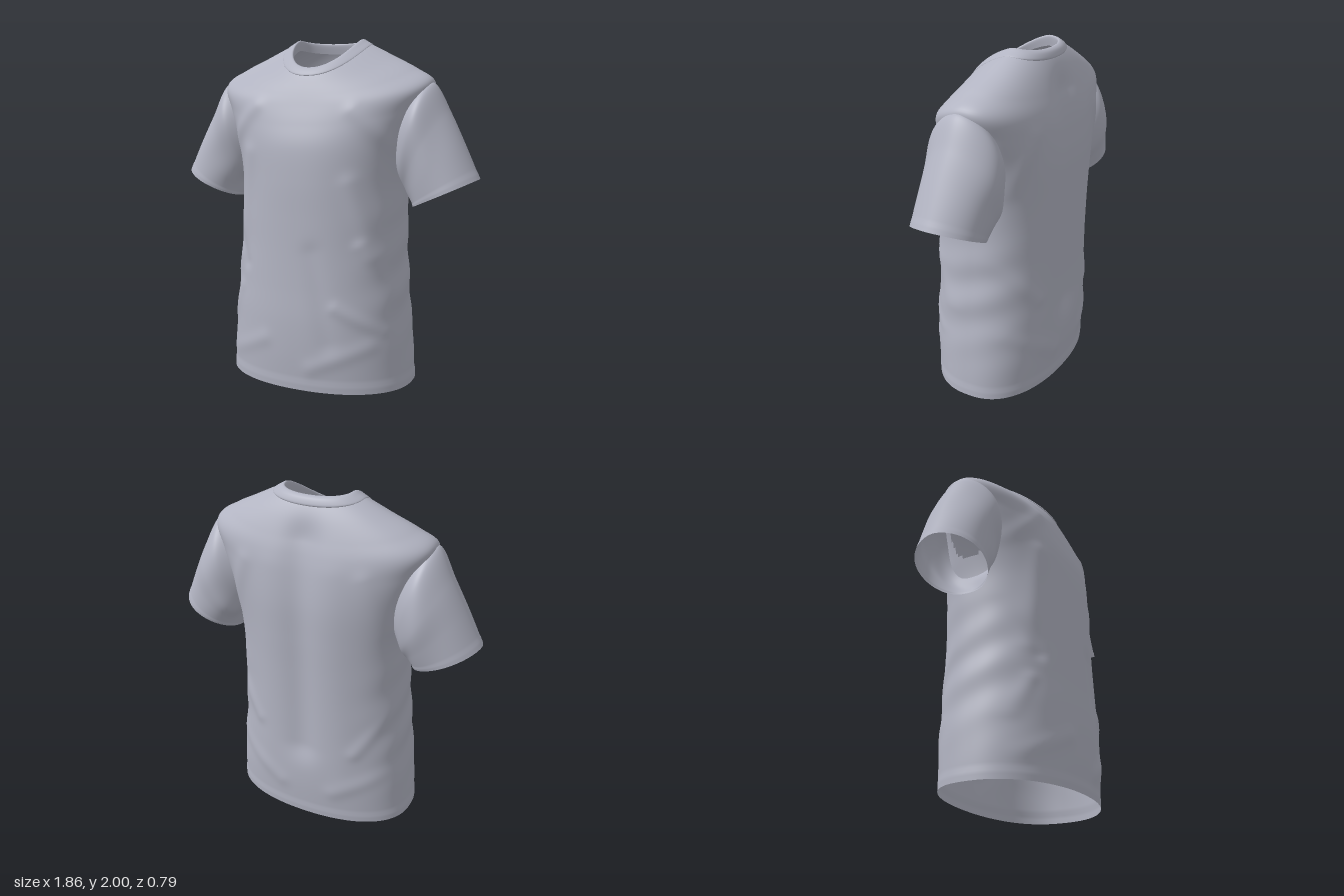
import * as THREE from 'three';

const fabric = new THREE.MeshStandardMaterial({ color: 0xb2b4c2, side: THREE.DoubleSide });
fabric.name = 'grey fabric';

// Catmull-Rom interpolation between rows of a section table, t in 0..1
function sample(rows, t) {
  const f = t * (rows.length - 1);
  const i = Math.min(Math.floor(f), rows.length - 2);
  const u = f - i;
  const at = (k) => rows[Math.max(0, Math.min(rows.length - 1, k))];
  const [a, b, c, d] = [at(i - 1), at(i), at(i + 1), at(i + 2)];
  return b.map((_, k) => 0.5 * (2 * b[k] + (c[k] - a[k]) * u
    + (2 * a[k] - 5 * b[k] + 4 * c[k] - d[k]) * u * u
    + (3 * b[k] - a[k] - 3 * c[k] + d[k]) * u * u * u));
}

// Closed rings joined into a smooth open tube; quads starting in a hole are left out
function loft(name, rings, segments, point, inHole = () => false) {
  const pos = [], index = [];
  for (let r = 0; r <= rings; r++)
    for (let s = 0; s < segments; s++) pos.push(...point(r / rings, (s / segments) * Math.PI * 2));
  for (let r = 0; r < rings; r++)
    for (let s = 0; s < segments; s++) {
      const a = r * segments + s, b = r * segments + (s + 1) % segments;
      if (inHole(pos[a * 3], pos[a * 3 + 1], pos[a * 3 + 2])) continue;
      index.push(a, a + segments, b, b, a + segments, b + segments);
    }
  const g = new THREE.BufferGeometry();
  g.setAttribute('position', new THREE.Float32BufferAttribute(pos, 3));
  g.setIndex(index);
  g.computeVertexNormals();
  const mesh = new THREE.Mesh(g, fabric);
  mesh.name = name;
  return mesh;
}

// Torso sections: half width, side y, front y, back y, front z, back z, side z
const torsoRows = [
  [0.57, 0, 0, 0, 0.38, -0.365, -0.01],
  [0.56, 0.2, 0.2, 0.2, 0.395, -0.382, -0.01],
  [0.54, 0.4, 0.4, 0.4, 0.398, -0.387, -0.01],
  [0.523, 0.6, 0.6, 0.6, 0.388, -0.388, -0.01],
  [0.508, 0.8, 0.8, 0.8, 0.38, -0.39, -0.02],
  [0.503, 1.0, 1.0, 1.0, 0.375, -0.394, -0.03],
  [0.505, 1.2, 1.2, 1.2, 0.37, -0.4, -0.05],
  [0.545, 1.42, 1.39, 1.4, 0.355, -0.402, -0.06],
  [0.61, 1.62, 1.52, 1.57, 0.32, -0.388, -0.07],
  [0.65, 1.755, 1.62, 1.68, 0.285, -0.368, -0.07],
  [0.54, 1.832, 1.68, 1.77, 0.262, -0.34, -0.09],
  [0.4, 1.9, 1.735, 1.86, 0.238, -0.305, -0.11],
  [0.28, 1.958, 1.785, 1.925, 0.213, -0.272, -0.12],
  [0.21, 1.988, 1.82, 1.962, 0.185, -0.245, -0.12],
];

// Neckband sections in the same layout: outer edge, over the top, inner edge
const collarRows = [
  [0.262, 1.963, 1.785, 1.93, 0.211, -0.27, -0.12],
  [0.26, 1.97, 1.79, 1.94, 0.216, -0.273, -0.12],
  [0.232, 1.986, 1.811, 1.968, 0.204, -0.26, -0.12],
  [0.207, 2.0, 1.832, 1.98, 0.183, -0.24, -0.12],
  [0.196, 1.99, 1.828, 1.972, 0.172, -0.228, -0.12],
  [0.2, 1.94, 1.8, 1.92, 0.182, -0.24, -0.12],
];

function section([w, ys, yf, yb, zf, zb, zs], a) {
  const c = Math.cos(a), s = Math.sin(a), e = s > 0 ? 0.92 : 0.78;
  const x = w * Math.sign(c) * Math.abs(c) ** 0.92;
  const z = zs + ((s > 0 ? zf : zb) - zs) * Math.abs(s) ** e;
  const y = ys + ((s > 0 ? yf : yb) - ys) * Math.abs(s) ** 1.3;
  return [x, y, z];
}

// Cloth folds: x1, y1, x2, y2, height, width
const frontFolds = [
  [-0.34, 1.35, -0.42, 0.75, 0.012, 0.05],
  [-0.5, 1.0, -0.36, 0.7, -0.012, 0.035],
  [-0.5, 0.35, -0.42, 0.55, 0.012, 0.035],
  [-0.48, 0.14, -0.2, 0.28, 0.008, 0.045],
  [0.3, 1.2, 0.42, 0.8, 0.012, 0.05],
  [0.36, 0.85, 0.52, 0.55, 0.014, 0.035],
  [0.24, 0.5, 0.48, 0.36, 0.01, 0.035],
  [0.1, 0.14, 0.42, 0.28, 0.008, 0.045],
  [0.1, 0.8, 0.2, 0.3, -0.008, 0.06],
  [-0.5, 1.4, -0.3, 1.62, 0.012, 0.045],
  [0.5, 1.4, 0.3, 1.6, 0.012, 0.045],
];
const backFolds = [
  [0, 1.75, 0, 0.5, -0.03, 0.1],
  [-0.2, 1.6, -0.25, 0.3, 0.004, 0.08],
  [0.2, 1.6, 0.25, 0.3, 0.004, 0.08],
  [-0.48, 1.3, -0.36, 1.6, 0.01, 0.05],
  [0.48, 1.3, 0.36, 1.6, 0.01, 0.05],
  [0.5, 0.85, 0.3, 0.6, 0.01, 0.04],
  [-0.5, 0.75, -0.32, 0.5, 0.01, 0.04],
  [0.48, 0.4, 0.15, 0.2, 0.008, 0.05],
  [-0.48, 0.35, -0.2, 0.2, 0.008, 0.05],
];
function foldHeight(folds, x, y) {
  let h = 0;
  for (const [x1, y1, x2, y2, amp, wid] of folds) {
    const dx = x2 - x1, dy = y2 - y1;
    const t = Math.max(0, Math.min(1, ((x - x1) * dx + (y - y1) * dy) / (dx * dx + dy * dy)));
    const d = Math.hypot(x - x1 - dx * t, y - y1 - dy * t) / wid;
    h += amp * Math.exp(-d * d);
  }
  return h;
}

function torsoPoint(t, a) {
  const [x, y, z] = section(sample(torsoRows, t), a);
  const c = Math.cos(a), s = Math.sin(a);
  // diagonal wrinkles gathered at the waist sides
  const waist = Math.exp(-(((y - 0.65) / 0.35) ** 2)) * c * c;
  const side = 0.006 * waist * Math.sin(24 * y + 9 * z * Math.sign(c));
  // stitched hem stands slightly proud
  const hem = y < 0.06 ? 0.004 : 0;
  const h = foldHeight(s > 0 ? frontFolds : backFolds, x, y) * Math.min(1, Math.abs(s) * 1.5);
  return [x + c * (side + hem + h * 0.5), y, z + s * (h + hem)];
}

// Armhole openings hidden under the sleeve heads
const inArmhole = (x, y, z) =>
  Math.abs(x) > 0.42 && Math.hypot((y - 1.48) / 0.19, (z + 0.06) / 0.13) < 1;

// Sleeve sections: top x, top y, bottom x, bottom y, front z, back z
const sleeveRows = [
  [0.575, 1.735, 0.44, 1.26, 0.115, -0.235],
  [0.66, 1.742, 0.485, 1.2, 0.155, -0.285],
  [0.75, 1.585, 0.515, 1.15, 0.15, -0.3],
  [0.84, 1.41, 0.54, 1.1, 0.15, -0.275],
  [0.93, 1.22, 0.565, 1.05, 0.15, -0.25],
];
function sleevePoint(side) {
  return (t, a) => {
    const [tx, ty, bx, by, zf, zb] = sample(sleeveRows, t);
    const c = Math.cos(a), s = Math.sin(a) * -side;
    // folds run from the armpit towards the cuff and fade at both ends
    const fold = 1 + 0.03 * Math.sin(Math.PI * t) * Math.sin(5 * a + 5 * t) * (0.6 - 0.4 * c)
      + (t > 0.92 ? 0.01 : 0);
    const u = c * 0.5 * fold;
    const x = (tx + bx) / 2 + (tx - bx) * u, y = (ty + by) / 2 + (ty - by) * u;
    // the outer half is slimmer than the half facing the body
    const e = 1 + 0.12 * c;
    const z = (zf + zb) / 2 + (zf - zb) * 0.5 * fold * Math.sign(s) * Math.abs(s) ** e;
    return [side * x, y, z];
  };
}

export function createModel() {
  const shirt = new THREE.Group();
  shirt.name = 'shirt';
  shirt.add(loft('torso', 130, 160, torsoPoint, inArmhole));
  shirt.add(loft('collar', 20, 96, (t, a) => section(sample(collarRows, t), a)));
  shirt.add(loft('leftSleeve', 50, 72, sleevePoint(1)));
  shirt.add(loft('rightSleeve', 50, 72, sleevePoint(-1)));
  return shirt;
}
